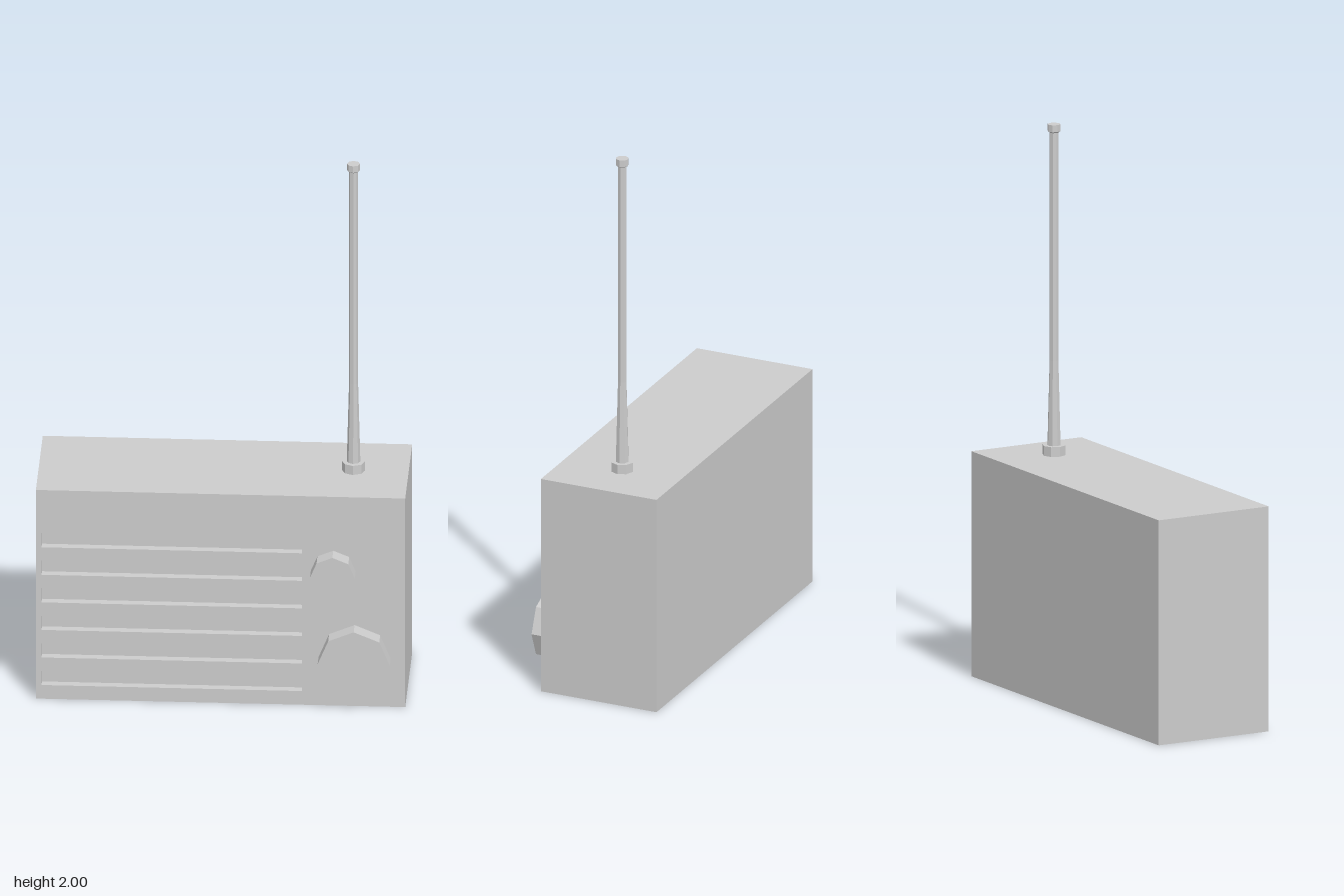
import * as THREE from 'three';

const material = new THREE.MeshStandardMaterial({ color: 0xcccccc, flatShading: true });

const WIDTH = 1.3, HEIGHT = 0.81;
const BACK = -0.255, FRONT = 0.193, SLOT_DEPTH = 0.03;

function addMesh(parent, name, geometry, x, y, z) {
  const mesh = new THREE.Mesh(geometry, material);
  mesh.name = name;
  mesh.position.set(x, y, z);
  parent.add(mesh);
  return mesh;
}

function rectangle(path, x0, y0, x1, y1) {
  path.moveTo(x0, y0);
  path.lineTo(x1, y0);
  path.lineTo(x1, y1);
  path.lineTo(x0, y1);
  path.closePath();
  return path;
}

// Case: solid box behind a front panel cut by six speaker slots
function createCase() {
  const group = new THREE.Group();
  group.name = 'case';
  const depth = FRONT - SLOT_DEPTH - BACK;
  addMesh(group, 'caseBody', new THREE.BoxGeometry(WIDTH, HEIGHT, depth), 0, HEIGHT / 2, BACK + depth / 2);

  const panel = rectangle(new THREE.Shape(), -WIDTH / 2, 0, WIDTH / 2, HEIGHT);
  for (let i = 0; i < 6; i++) {
    const y = 0.053 + i * 0.107;
    panel.holes.push(rectangle(new THREE.Path(), -0.63, y, 0.287, y + 0.055));
  }
  const geometry = new THREE.ExtrudeGeometry(panel, { depth: SLOT_DEPTH, bevelEnabled: false });
  addMesh(group, 'speakerPanel', geometry, 0, 0, FRONT - SLOT_DEPTH);
  return group;
}

// Octagonal knob standing out from the front
function addKnob(parent, name, radius, x, y) {
  const length = 0.06;
  const geometry = new THREE.CylinderGeometry(radius, radius, length, 8).rotateX(Math.PI / 2);
  addMesh(parent, name, geometry, x, y, FRONT + length / 2);
}

// Antenna: collar, tapered foot, straight rod and tip as one turned profile
function createAntenna() {
  const profile = [
    [0, 0], [0.041, 0], [0.041, 0.035], [0.024, 0.035],
    [0.016, 0.34], [0.016, 1.16], [0.023, 1.165], [0.023, 1.19], [0, 1.19],
  ].map(([r, y]) => new THREE.Vector2(r, y));
  const mesh = new THREE.Mesh(new THREE.LatheGeometry(profile, 8), material);
  mesh.name = 'antenna';
  mesh.position.set(0.456, HEIGHT, -0.032);
  return mesh;
}

export function createModel() {
  const radio = new THREE.Group();
  radio.name = 'radio';
  radio.add(createCase());
  addKnob(radio, 'volumeKnob', 0.079, 0.397, 0.522);
  addKnob(radio, 'tuningKnob', 0.127, 0.472, 0.187);
  radio.add(createAntenna());
  return radio;
}
